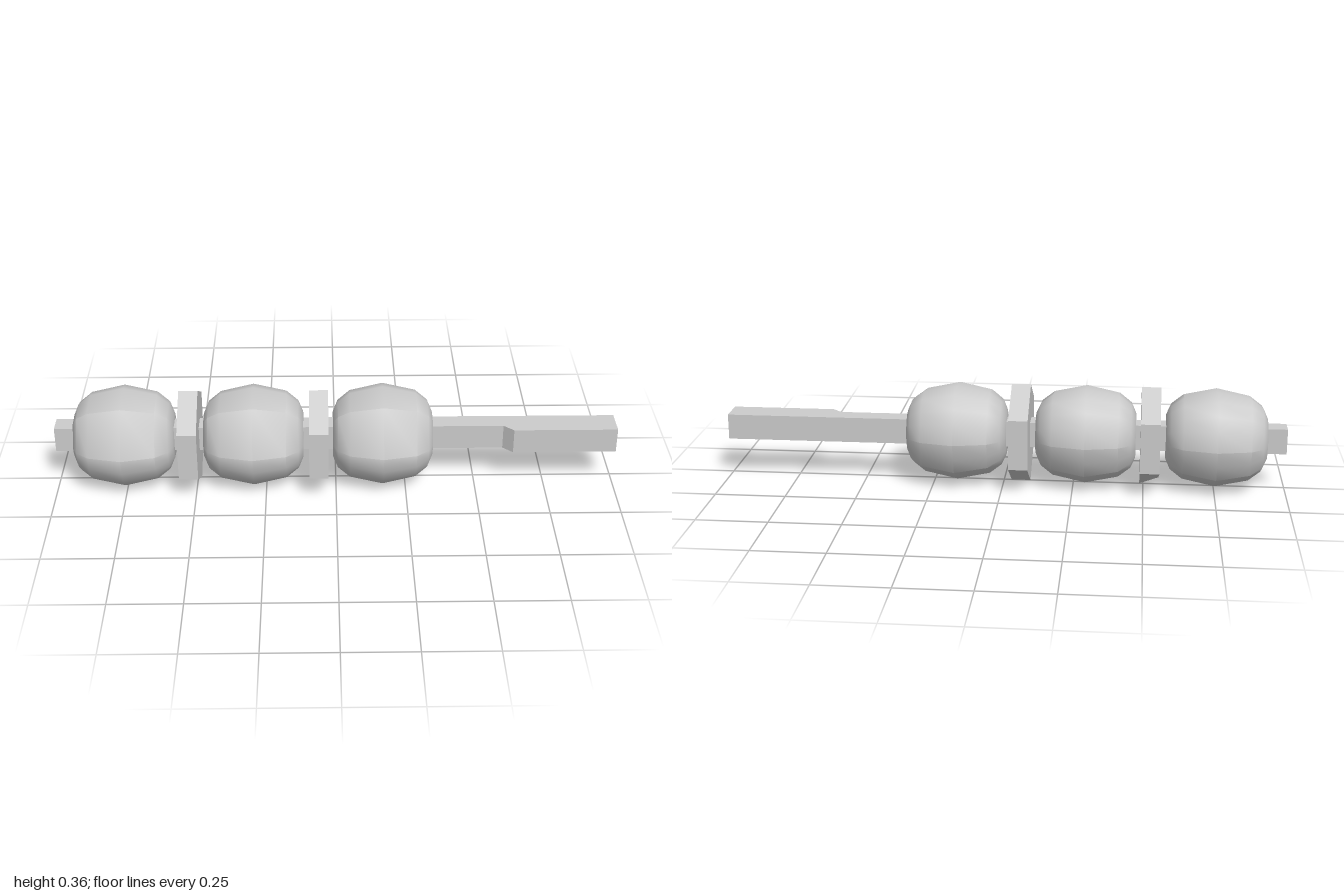
import * as THREE from 'three';
import { toCreasedNormals } from 'three/addons/utils/BufferGeometryUtils.js';

const AXIS_Y = 0.18;

// Widest outline of a lump, as (z, y) around its axis
const OUTLINE = [
  [0.18, 0], [0.09, 0.157], [-0.03, 0.176], [-0.09, 0.158], [-0.135, 0.118],
  [-0.157, 0.07], [-0.18, 0], [-0.157, -0.06], [-0.135, -0.115], [-0.03, -0.172],
  [0.09, -0.155], [0.135, -0.115], [0.168, -0.06],
];

// Sections along x: position and scale of the outline
const SECTIONS = [
  [-0.177, 0], [-0.177, 0.45], [-0.16, 0.67], [-0.117, 0.86], [0, 1],
  [0.117, 0.86], [0.16, 0.67], [0.177, 0.45], [0.177, 0],
];

function lumpGeometry() {
  const n = OUTLINE.length;
  const positions = [];
  const index = [];
  for (const [x, s] of SECTIONS) {
    for (const [z, y] of OUTLINE) positions.push(x, y * s, z * s);
  }
  for (let i = 0; i < SECTIONS.length - 1; i++) {
    for (let j = 0; j < n; j++) {
      const k = (j + 1) % n;
      const a = i * n + j, b = a + n, c = i * n + k, d = c + n;
      if (SECTIONS[i][1] > 0) index.push(a, b, c);
      if (SECTIONS[i + 1][1] > 0) index.push(b, d, c);
    }
  }
  // The end caps keep the triangle that is not collapsed
  const geometry = new THREE.BufferGeometry();
  geometry.setAttribute('position', new THREE.Float32BufferAttribute(positions, 3));
  geometry.setIndex(index);
  return toCreasedNormals(geometry, THREE.MathUtils.degToRad(42));
}

// Six-sided slice with a point upwards; one lower corner may be lifted
function sliceGeometry(lift) {
  const geometry = new THREE.CylinderGeometry(0.18, 0.18, 0.068, 6)
    .rotateY(Math.PI / 6).rotateZ(Math.PI / 2).toNonIndexed();
  const p = geometry.attributes.position;
  for (let i = 0; i < p.count; i++) {
    if (p.getX(i) < 0 && p.getY(i) < -0.17) p.setY(i, p.getY(i) + lift);
  }
  geometry.computeVertexNormals();
  return geometry;
}

export function createModel() {
  const group = new THREE.Group();
  const grey = new THREE.MeshStandardMaterial({ color: 0xcccccc });
  grey.name = 'light grey';

  const add = (name, geometry, x, y) => {
    const mesh = new THREE.Mesh(geometry, grey);
    mesh.name = name;
    mesh.position.set(x, y, 0);
    group.add(mesh);
  };

  // Square stick that thickens into a grip on its front side
  const plan = new THREE.Shape([
    [-1, -0.036], [1, -0.036], [1, 0.065], [0.632, 0.065], [0.597, 0.033], [-1, 0.033],
  ].map(([x, z]) => new THREE.Vector2(x, z)));
  const stick = new THREE.ExtrudeGeometry(plan, { depth: 0.091, bevelEnabled: false });
  add('stick', stick.rotateX(Math.PI / 2), 0, 0.228);

  // Three rounded lumps
  const lump = lumpGeometry();
  [-0.753, -0.293, 0.167].forEach((x, i) => add(`lump${i + 1}`, lump, x, AXIS_Y));

  // Two six-sided slices between them
  [[-0.521, 0.025], [-0.061, 0]].forEach(([x, lift], i) =>
    add(`slice${i + 1}`, sliceGeometry(lift), x, AXIS_Y));

  return group;
}
